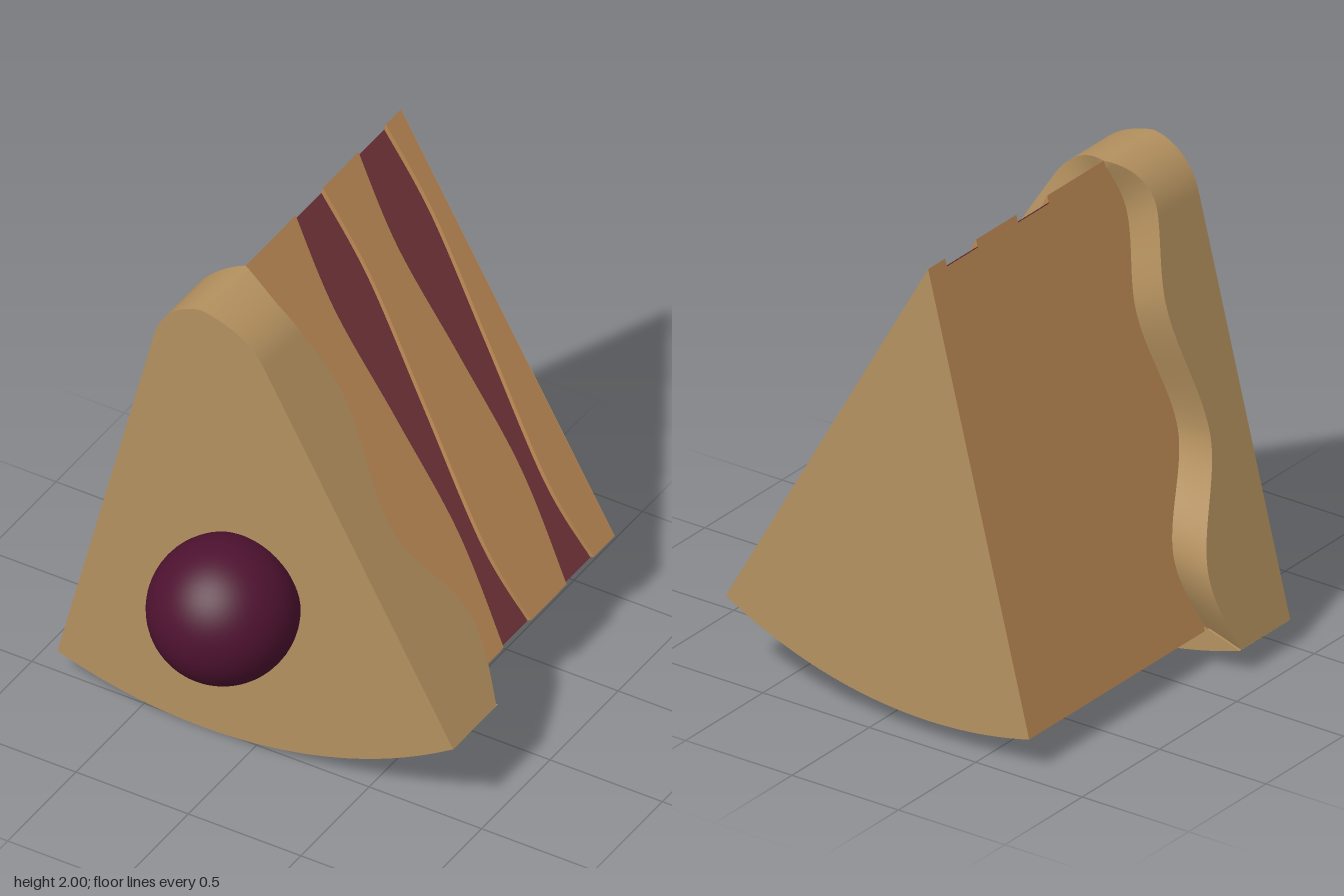
import * as THREE from 'three';
import { mergeGeometries } from 'three/addons/utils/BufferGeometryUtils.js';

const V = (x, y) => new THREE.Vector2(x, y);
const paint = (color) => new THREE.MeshStandardMaterial({ color, roughness: 0.9, side: THREE.DoubleSide });

const FRONT = 0.51, BACK = -0.95;
const APEX = V(-0.24, 2), BODY_R = 1.92, ICING_R = 2.01;
const bodyRight = V(0.71, 0.33), bodyLeft = V(-0.715, 0.14);
const icingRight = V(0.88, 0.34), icingLeft = V(-0.88, 0.105);
// Right edge of the sponge core, set back so the filling sits in grooves
const coreTop = V(-0.2477, 1.97), coreRight = V(0.692, 0.32);

// Points on an arc hanging below a centre, from one x to another
const arc = (x0, x1, cy, r, n = 40) => Array.from({ length: n + 1 }, (_, i) => {
  const x = x0 + (x1 - x0) * i / n;
  return V(x, cy - Math.sqrt(r * r - (x - APEX.x) ** 2));
});

// Smooth surface between two rows of points
function loft(a, b) {
  const n = a.length, index = [];
  for (let i = 0; i < n - 1; i++) index.push(i, n + i, i + 1, n + i, n + i + 1, i + 1);
  const g = new THREE.BufferGeometry().setFromPoints([...a, ...b]);
  g.setIndex(index);
  g.computeVertexNormals();
  return g;
}

// Wavy depth of the icing's back edge, from a bottom corner (0) to the tip (1)
const waveKeys = [[-0.14, 0.273], [0.16, 0.097], [0.42, 0.28], [0.69, 0.185], [0.89, 0.255], [1.11, 0.115]];
function wave(f) {
  const i = waveKeys.findIndex((k) => k[0] > f);
  const [a, b] = [waveKeys[i - 1], waveKeys[i]];
  return a[1] + (b[1] - a[1]) * THREE.MathUtils.smoothstep(f, a[0], b[0]);
}

function icingGeometry() {
  const half = (corner, shoulder, c1, c2) => {
    const p = new THREE.CurvePath();
    p.add(new THREE.LineCurve(corner, shoulder));
    p.add(new THREE.CubicBezierCurve(shoulder, c1, c2, APEX));
    return p.getSpacedPoints(80);
  };
  const right = half(icingRight, V(0.04, 1.83), V(-0.02, 1.94), V(-0.14, 1.985));
  const left = half(icingLeft, V(-0.45, 1.8), V(-0.425, 1.9), V(-0.35, 1.985));
  const sides = [...right, ...left.reverse().slice(1)];
  const bottom = arc(icingLeft.x, icingRight.x, ICING_R, ICING_R);

  // Matching inner rows, tucked just under the sponge surface
  const tuck = (p) => V(-0.1 + (p.x + 0.1) * 0.97, 0.9 + (p.y - 0.9) * 0.97);
  const frac = sides.map((_, i) => 1 - Math.abs(i - 80) / 80);
  const innerSides = sides.map((_, i) => tuck((i < 80 ? bodyRight : bodyLeft).clone().lerp(APEX, frac[i])));
  const innerBottom = arc(bodyLeft.x, bodyRight.x, 2, BODY_R).map(tuck);

  const at = (pts, z) => pts.map((p, i) => new THREE.Vector3(p.x, p.y, z(i)));
  const front = () => FRONT, wavy = (i) => wave(frac[i]), level = () => 0.185;
  const face = new THREE.ShapeGeometry(new THREE.Shape([...sides, ...bottom.slice(1, -1)]));
  face.translate(0, 0, FRONT);
  face.deleteAttribute('uv');
  return mergeGeometries([
    face,
    loft(at(sides, front), at(sides, wavy)),
    loft(at(sides, wavy), at(innerSides, wavy)),
    loft(at(bottom, front), at(bottom, level)),
    loft(at(bottom, level), at(innerBottom, level)),
  ]);
}

// Shape in (position up the right edge, z) pressed onto the cut face.
// w0..w1 is the height range: 0 = groove floor, 1 = sponge surface
function cutFaceGeometry(points, w0, w1) {
  const g = new THREE.ExtrudeGeometry(new THREE.Shape(points), { depth: w1 - w0, bevelEnabled: false });
  const p = g.attributes.position;
  for (let i = 0; i < p.count; i++) {
    const u = p.getX(i);
    const outer = bodyRight.clone().lerp(APEX, u);
    const q = coreRight.clone().lerp(coreTop, u).lerp(outer, p.getZ(i) + w0);
    p.setXYZ(i, q.x, q.y, p.getY(i));
  }
  g.computeVertexNormals();
  return g;
}

export function createModel() {
  const group = new THREE.Group();
  const sponge = paint(0xbe8a55), icing = paint(0xb4915f), filling = paint(0x74353a), cherry = paint(0x4e1230);
  const add = (name, geometry, material) => {
    const m = new THREE.Mesh(geometry, material);
    m.name = name;
    group.add(m);
    return m;
  };

  // Sponge wedge
  const core = new THREE.Shape([coreTop, ...arc(bodyLeft.x, coreRight.x, 2, BODY_R)]);
  const coreGeo = new THREE.ExtrudeGeometry(core, { depth: 0.4 - BACK, bevelEnabled: false });
  add('spongeCore', coreGeo.translate(0, 0, BACK), sponge);

  // Raised sponge layers with wavy borders, leaving two filling grooves
  const edge = (pts, dz) => new THREE.SplineCurve(pts.map(([u, z]) => V(u, z + dz))).getPoints(40);
  const frontEdge = (dz) => edge([[0, -0.14], [0.25, -0.2], [0.52, -0.175], [0.79, -0.14], [1, -0.18]], dz);
  const backEdge = (dz) => edge([[0, -0.34], [0.19, -0.3], [0.5, -0.352], [0.79, -0.4], [1, -0.38]], dz);
  const straight = (z) => [V(0, z), V(1, z)];
  const borders = [[straight(0.4), frontEdge(0)], [backEdge(0), frontEdge(-0.46)], [backEdge(-0.46), straight(BACK)]];
  borders.forEach(([a, b], i) => {
    add('spongeLayer' + (i + 1), cutFaceGeometry([...b, ...a.reverse()], 0, 1), sponge);
  });

  // Filling bands at the bottom of the grooves
  [0, -0.46].forEach((dz, i) => {
    const band = [...backEdge(dz), ...frontEdge(dz).reverse()];
    add('fillingBand' + (i + 1), cutFaceGeometry(band, -0.05, 0.1), filling);
  });

  // Icing on the front, and a thin coat on the back
  add('icing', icingGeometry(), icing);
  const coat = new THREE.ShapeGeometry(new THREE.Shape([APEX, ...arc(bodyLeft.x, bodyRight.x, 2, BODY_R)]));
  add('backCoat', coat.rotateY(Math.PI).scale(-1, 1, 1).translate(0, 0, BACK - 0.001), icing);

  // Cherry
  add('cherry', new THREE.SphereGeometry(0.295, 48, 32), cherry).position.set(-0.055, 0.735, 0.655);
  return group;
}
